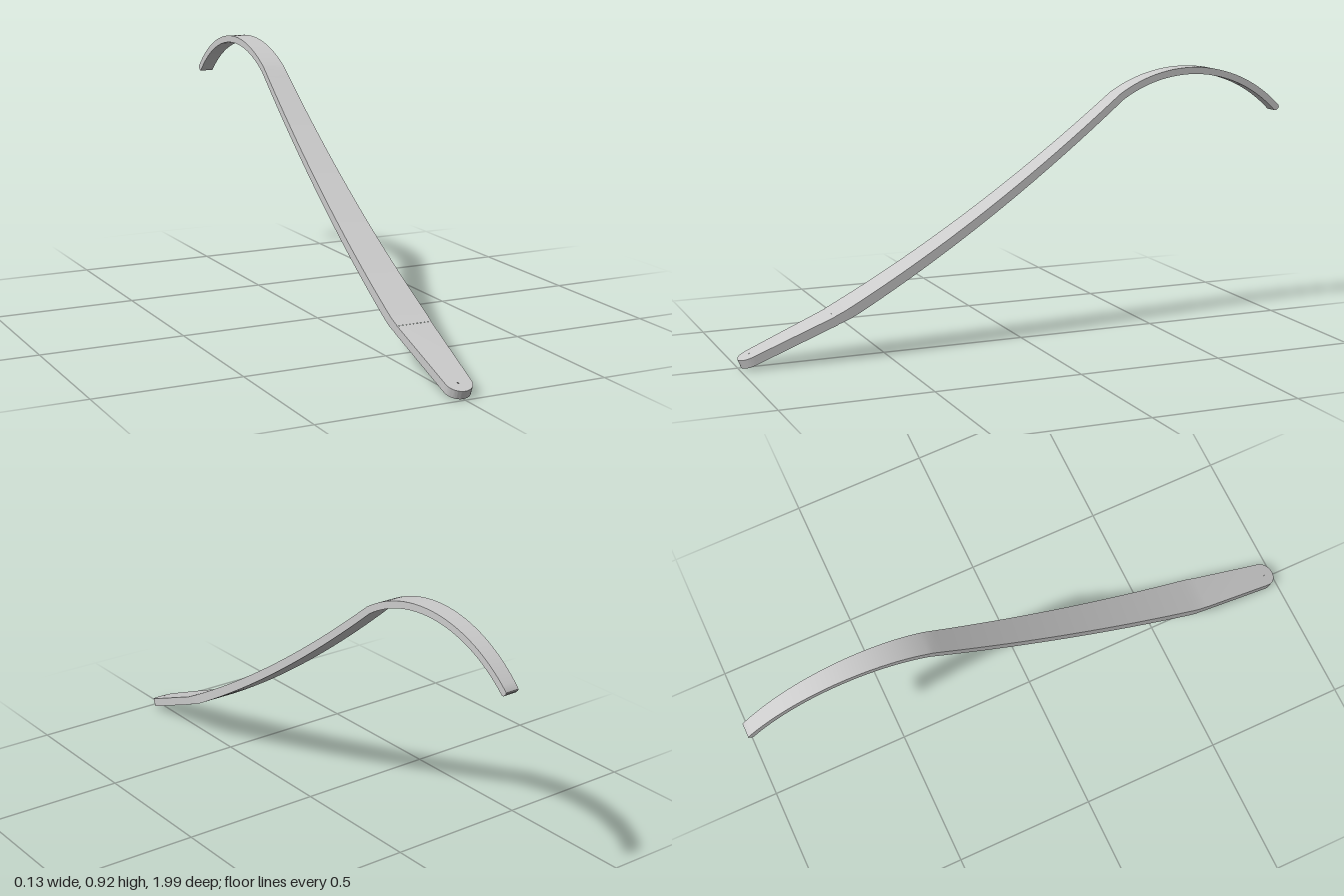
import * as THREE from 'three';
import { mergeGeometries, toCreasedNormals } from 'three/addons/utils/BufferGeometryUtils.js';

// Half width of the strip as a function of z: widest near the bend, tapering both ways
const halfWidth = z => z > 0.64 ? 0.045 + (0.955 - z) * 0.057 : 0.063 - (0.64 - z) * 0.0236;

// Straight front tab with a rounded end and a small pin hole
function tabGeometry() {
  const r = 0.045, len = 0.339, w = halfWidth(0.68);
  const shape = new THREE.Shape();
  shape.moveTo(-r, r);
  shape.absarc(0, r, r, Math.PI, Math.PI * 2, false);
  shape.lineTo(w, len);
  shape.lineTo(-w, len);
  shape.closePath();
  shape.holes.push(new THREE.Path().absarc(0, r, 0.007, 0, Math.PI * 2, true));
  const geo = new THREE.ExtrudeGeometry(shape, { depth: 0.03, bevelEnabled: false, curveSegments: 24 });
  const along = new THREE.Vector3(0, 0.375, -0.927).normalize();
  const side = new THREE.Vector3(1, 0, 0);
  const m = new THREE.Matrix4().makeBasis(side, along, side.clone().cross(along));
  m.setPosition(0, 0, 0.988);
  geo.applyMatrix4(m);
  geo.deleteAttribute('uv');
  geo.deleteAttribute('normal');
  return geo;
}

// Centre line of the bent strip as [z, y, thickness]
function centreLine() {
  const pts = [[0.68, 0.142, 0.03], [0.645, 0.157, 0.033]];
  // long, slightly sagging shank
  for (let i = 0; i <= 28; i++) {
    const t = i / 28, z = 0.615 - 0.975 * t;
    const y = 0.172 + 0.654 * t - 0.137 * t * (1 - t);
    pts.push([z, y, 0.034 - 0.01 * t]);
  }
  // hooked arc
  const a0 = Math.asin(0.27 / 0.5), a1 = -Math.asin(0.355 / 0.5);
  for (let i = 1; i <= 32; i++) {
    const a = a0 + (a1 - a0) * i / 32;
    pts.push([-0.63 + 0.5 * Math.sin(a), 0.405 + 0.5 * Math.cos(a), 0.024]);
  }
  // softened tip
  const [z, y] = pts[pts.length - 1];
  for (const [d, th] of [[0.004, 0.021], [0.007, 0.013]]) {
    pts.push([z - d * Math.cos(a1), y + d * Math.sin(a1), th]);
  }
  return pts;
}

// Rectangular cross-sections swept along the centre line
function stripGeometry() {
  const line = centreLine(), pos = [], idx = [];
  line.forEach(([z, y, th], i) => {
    const p = line[Math.max(i - 1, 0)], n = line[Math.min(i + 1, line.length - 1)];
    const dz = n[0] - p[0], dy = n[1] - p[1], l = Math.hypot(dz, dy);
    const nz = dy / l * th / 2, ny = -dz / l * th / 2, w = halfWidth(z);
    pos.push(w, y + ny, z + nz, -w, y + ny, z + nz, -w, y - ny, z - nz, w, y - ny, z - nz);
    if (i === 0) return;
    for (let k = 0; k < 4; k++) {
      const a = (i - 1) * 4 + k, b = (i - 1) * 4 + (k + 1) % 4;
      idx.push(a, a + 4, b + 4, a, b + 4, b);
    }
  });
  const e = (line.length - 1) * 4;
  idx.push(e, e + 2, e + 1, e, e + 3, e + 2);
  const geo = new THREE.BufferGeometry();
  geo.setAttribute('position', new THREE.Float32BufferAttribute(pos, 3));
  geo.setIndex(idx);
  return geo.toNonIndexed();
}

export function createModel() {
  const group = new THREE.Group();
  group.name = 'curvedLever';
  const geo = toCreasedNormals(mergeGeometries([tabGeometry(), stripGeometry()]), 0.5);
  const mesh = new THREE.Mesh(geo, new THREE.MeshStandardMaterial({ color: 0xcccccc }));
  mesh.name = 'leverArm';
  group.add(mesh);
  return group;
}
